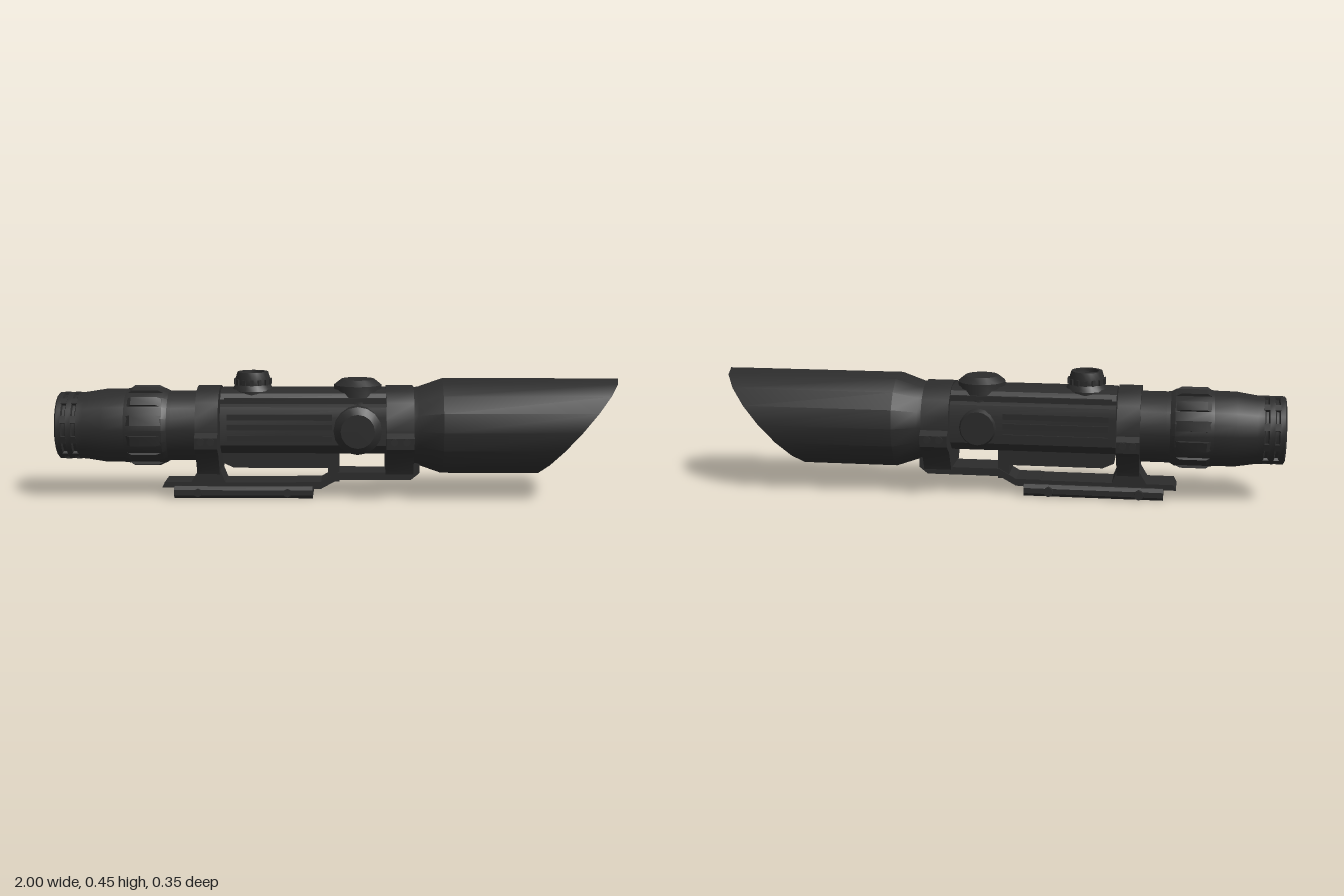
import * as THREE from 'three';
import { toCreasedNormals } from 'three/addons/utils/BufferGeometryUtils.js';

const AXIS = 0.255; // height of the optical axis

export function createModel() {
  const group = new THREE.Group();
  const black = new THREE.MeshStandardMaterial({ color: 0x2c2c2c });
  black.name = 'matte black';
  const glass = new THREE.MeshStandardMaterial({ color: 0x222222 });
  glass.name = 'dark glass';

  const add = (name, geo, mat = black) => {
    const mesh = new THREE.Mesh(toCreasedNormals(geo, 0.5), mat);
    mesh.name = name;
    group.add(mesh);
    return mesh;
  };
  // profile of [x, radius] turned around the optical axis
  const turnX = (profile, sides = 16) =>
    new THREE.LatheGeometry(profile.map(([x, r]) => new THREE.Vector2(r, x)), sides).rotateZ(-Math.PI / 2);
  // profile of [radius, y] turned around a vertical axis
  const turnY = (profile, sides = 16) =>
    new THREE.LatheGeometry(profile.map(([r, y]) => new THREE.Vector2(r, y)), sides);
  const extrude = (pts, depth) => new THREE.ExtrudeGeometry(
    new THREE.Shape(pts.map(([a, b]) => new THREE.Vector2(a, b))), { depth, bevelEnabled: false });
  // half cross-section of [z, y], mirrored and run along x
  const runX = (half, x0, x1) => {
    const other = half.map(([z, y]) => [-z, y]).reverse();
    return extrude([...half, ...other], x1 - x0).rotateY(Math.PI / 2).translate(x0, 0, 0);
  };
  // side outline of [x, y], given a width in z
  const runZ = (pts, width) => extrude(pts, width).translate(0, 0, -width / 2);
  const box = (x0, x1, y0, y1, z0, z1) =>
    new THREE.BoxGeometry(x1 - x0, y1 - y0, z1 - z0).translate((x0 + x1) / 2, (y0 + y1) / 2, (z0 + z1) / 2);

  // Hood: the front end is sheared to a slanted face
  const hood = turnX([[0.26, 0], [0.26, 0.138], [0.285, 0.142], [0.37, 0.172], [0.85, 0.172], [0.85, 0]]);
  const p = hood.attributes.position;
  for (let i = 0; i < p.count; i++) {
    if (p.getX(i) > 0.6) p.setX(i, 0.85 + (p.getY(i) / 0.172) * 0.148);
  }
  add('hood', hood).position.y = AXIS;

  // Eyepiece with grooves and a hollow rear
  const eye = [[-0.93, 0], [-0.93, 0.09], [-1, 0.1], [-1, 0.114], [-0.995, 0.12], [-0.978, 0.12],
    [-0.974, 0.11], [-0.965, 0.11], [-0.961, 0.12], [-0.942, 0.12], [-0.938, 0.11], [-0.929, 0.11],
    [-0.925, 0.12], [-0.9, 0.121], [-0.83, 0.132], [-0.7, 0.134], [-0.59, 0.126], [-0.42, 0.126]];
  add('eyepiece', turnX(eye, 20)).position.y = AXIS;
  add('eyeLens', new THREE.CircleGeometry(0.09, 20).rotateY(-Math.PI / 2), glass).position.set(-0.932, AXIS, 0);
  for (let i = 0; i < 10; i++) { // small studs on the rear rim
    const a = (i / 10) * Math.PI * 2;
    for (const x of [-0.97, -0.933]) {
      const s = add('rimStud', new THREE.BoxGeometry(0.02, 0.01, 0.025));
      s.position.set(x, AXIS + Math.cos(a) * 0.115, Math.sin(a) * 0.115);
      s.rotation.x = a;
    }
  }

  // Power ring with long grips
  add('powerRing', turnX([[-0.77, 0.13], [-0.74, 0.136], [-0.62, 0.136], [-0.6, 0.125]], 20)).position.y = AXIS;
  const grip = [[-0.755, 0.125], [-0.73, 0.143], [-0.64, 0.143], [-0.605, 0.125]];
  for (let i = 0; i < 12; i++) {
    const g = add('powerRingGrip', runZ([...grip].reverse(), 0.036));
    g.position.y = AXIS;
    g.rotation.x = ((i + 0.5) / 12) * Math.PI * 2;
  }

  // Main body with stepped sides and ribs
  add('body', runX([[0.11, 0.2], [0.11, 0.3], [0.1, 0.335], [0.085, 0.345], [0.085, 0.36], [0.07, 0.38],
    [0.045, 0.39]].concat([]), -0.415, 0.2).translate(0, 0, 0));
  add('bodyBelly', runX([[0.065, 0.165], [0.11, 0.205]], -0.415, 0.2));
  add('lowerHousing', runZ([[-0.41, 0.13], [-0.37, 0.112], [-0.03, 0.112], [-0.01, 0.2], [-0.41, 0.2]], 0.13));
  add('housingPost', box(-0.035, 0.005, 0.06, 0.18, -0.055, 0.055));
  for (const side of [-1, 1]) {
    for (const y of [0.225, 0.265, 0.3]) {
      add('sideRib', box(-0.39, -0.02, y - 0.01, y + 0.01, -0.006, 0.006)).position.z = side * 0.112;
    }
    add('topRib', box(-0.4, 0.17, 0.352, 0.366, -0.006, 0.006)).position.z = side * 0.088;
  }

  // Mounting rings with side flanges and bolts
  const ring = [[0.06, 0.088], [0.085, 0.092], [0.092, 0.11], [0.125, 0.165], [0.168, 0.195], [0.17, 0.235],
    [0.146, 0.25], [0.142, 0.3], [0.115, 0.352], [0.07, 0.388], [0.025, 0.398]];
  [[-0.5, -0.42], [0.17, 0.268]].forEach(([x0, x1]) => {
    add('mountRing', runX(ring, x0, x1));
    for (const side of [-1, 1]) {
      for (const t of [0.28, 0.72]) {
        const b = add('ringBolt', new THREE.CylinderGeometry(0.013, 0.013, 0.02, 10).rotateX(Math.PI / 2));
        b.position.set(x0 + (x1 - x0) * t, 0.222, side * 0.166);
      }
    }
  });

  // Elevation turret: stepped dial with a slotted crown
  const dial = turnY([[0.075, 0.36], [0.075, 0.385], [0.066, 0.4], [0.062, 0.405], [0.062, 0.425],
    [0.055, 0.45], [0.042, 0.45], [0.042, 0.43], [0, 0.43]], 20);
  add('elevationTurret', dial).position.x = -0.305;
  add('turretSlotBar', box(-0.347, -0.263, 0.425, 0.444, -0.008, 0.008)).rotation.y = 0;
  for (let i = 0; i < 14; i++) {
    const a = (i / 14) * Math.PI * 2;
    const k = add('turretKnurl', new THREE.BoxGeometry(0.012, 0.02, 0.01));
    k.position.set(-0.305 + Math.sin(a) * 0.063, 0.415, Math.cos(a) * 0.063);
    k.rotation.y = a;
  }

  // Adjustment housing: capped on the top and on the front side
  const cap = [[0.085, 0], [0.085, 0.022], [0.06, 0.042], [0, 0.042]];
  add('topCap', turnY([[0.09, -0.05], ...cap])).position.set(0.07, 0.382, 0);
  const sideCap = add('sideCap', turnY([[0.09, -0.03], ...cap]));
  sideCap.position.set(0.07, 0.255, 0.106);
  sideCap.rotation.x = Math.PI / 2;
  add('rearPlate', new THREE.CylinderGeometry(0.06, 0.07, 0.02, 16).rotateX(-Math.PI / 2)).position.set(0.07, 0.255, -0.112);

  // Mount: pedestal, cantilever arm, rail plate and clamp
  add('pedestal', runZ([[-0.53, 0.05], [-0.4, 0.05], [-0.42, 0.1], [-0.5, 0.1]], 0.12));
  add('cantileverArm', runZ([[-0.15, 0.03], [-0.06, 0.035], [0, 0.068], [0.26, 0.068], [0.29, 0.092],
    [0.29, 0.13], [0.17, 0.13], [0.17, 0.095], [0, 0.095], [-0.06, 0.06], [-0.15, 0.06]], 0.12));
  add('railPlate', runZ([[-0.63, 0.038], [-0.07, 0.038], [-0.05, 0.058], [-0.62, 0.058]], 0.12));
  add('railClamp', runX([[0.068, 0.002], [0.08, 0.014], [0.08, 0.033], [0.068, 0.045]], -0.585, -0.09));
  for (const x of [-0.5, -0.18]) {
    add('clampNut', new THREE.CylinderGeometry(0.017, 0.017, 0.02, 8).rotateX(Math.PI / 2)).position.set(x, 0.023, -0.082);
    add('clampBolt', new THREE.CylinderGeometry(0.015, 0.015, 0.01, 8).rotateX(Math.PI / 2)).position.set(x, 0.023, 0.078);
  }

  return group;
}
